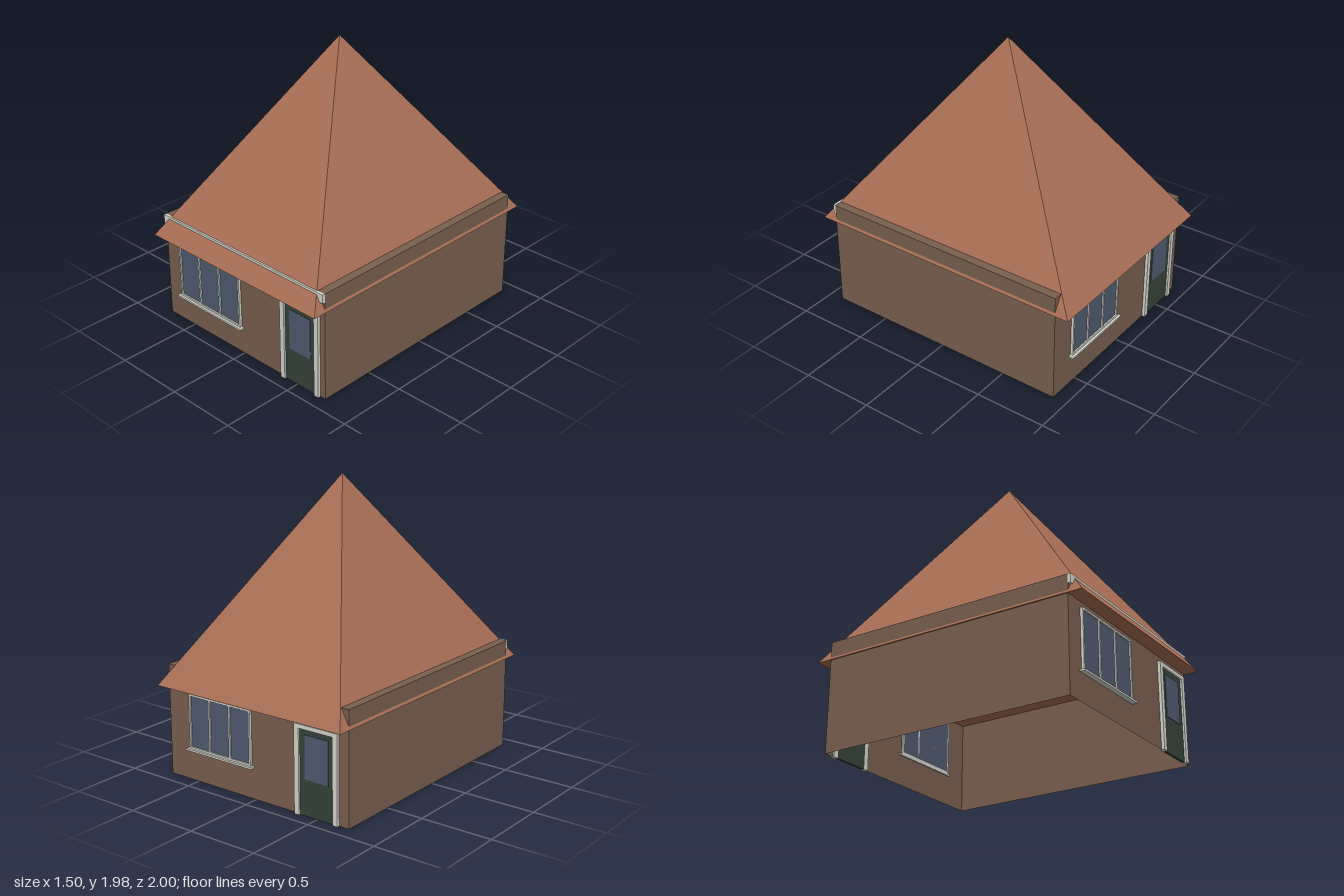
import * as THREE from 'three';

const mat = (color, extra = {}) => new THREE.MeshStandardMaterial({ color, ...extra });
const wallMat = mat(0x7a6050, { side: THREE.DoubleSide });
const roofMat = mat(0xa86e55, { flatShading: true });
const trimMat = mat(0xd8d8cf);
const doorMat = mat(0x34443a);
const glassMat = mat(0x505c70);

const WALL_Z = 0.9;

// Box given by its minimum and maximum corners
function box(name, material, x0, x1, y0, y1, z0, z1) {
  const mesh = new THREE.Mesh(new THREE.BoxGeometry(x1 - x0, y1 - y0, z1 - z0), material);
  mesh.position.set((x0 + x1) / 2, (y0 + y1) / 2, (z0 + z1) / 2);
  mesh.name = name;
  return mesh;
}

// Three-pane window with a slim frame and a sill
function makeWindow(x0, x1, y0, y1) {
  const g = new THREE.Group();
  g.name = 'window';
  const t = 0.013, z = WALL_Z - 0.01, front = WALL_Z + 0.018;
  g.add(box('windowGlass', glassMat, x0 + t, x1 - t, y0 + t, y1 - t, z, WALL_Z + 0.008));
  for (let i = 0; i <= 3; i++) {
    const x = x0 + ((x1 - x0 - t) * i) / 3;
    g.add(box('windowPost', trimMat, x, x + t, y0, y1, z, front));
  }
  for (const y of [y0, y1 - t]) g.add(box('windowRail', trimMat, x0 + t, x1 - t, y, y + t, z, front));
  g.add(box('windowSill', trimMat, x0 - 0.02, x1 + 0.02, y0 - 0.013, y0, z, WALL_Z + 0.034));
  return g;
}

// Door with a glazed upper part in a broad frame
function makeDoor(x0, x1) {
  const g = new THREE.Group();
  g.name = 'door';
  const top = 0.6, t = 0.037, head = 0.028, z = WALL_Z - 0.01, front = WALL_Z + 0.021;
  g.add(box('doorPostRight', trimMat, x0, x0 + t, 0, top, z, front));
  g.add(box('doorPostLeft', trimMat, x1 - t, x1, 0, top, z, front));
  g.add(box('doorHead', trimMat, x0 + t, x1 - t, top - head, top, z, front));
  g.add(box('doorPanel', doorMat, x0 + t, x1 - t, 0, top - head, z, WALL_Z + 0.008));
  g.add(box('doorGlass', glassMat, x0 + 0.078, x1 - 0.075, 0.245, 0.535, z, WALL_Z + 0.012));
  return g;
}

export function createModel() {
  const house = new THREE.Group();
  house.name = 'house';

  // Walls: a box open at the bottom
  const walls = box('walls', wallMat, -0.74, 0.74, 0, 0.765, -WALL_Z, WALL_Z);
  const index = Array.from(walls.geometry.index.array);
  index.splice(18, 6);
  walls.geometry.setIndex(index);
  walls.geometry.clearGroups();
  house.add(walls);

  // Pyramid roof with overhanging eaves
  const roofGeo = new THREE.ConeGeometry(Math.SQRT2, 1.34, 4);
  roofGeo.rotateY(Math.PI / 4);
  roofGeo.scale(0.75, 1, 1);
  const roof = new THREE.Mesh(roofGeo, roofMat);
  roof.name = 'roof';
  roof.position.y = 0.64 + 0.67;
  house.add(roof);

  // Trim board along the top of the front wall
  house.add(box('fasciaBoard', trimMat, -0.74, 0.74, 0.705, 0.767, WALL_Z, 0.918));

  // Front openings
  const front = new THREE.Group();
  front.name = 'frontOpenings';
  front.add(makeWindow(-0.605, -0.018, 0.198, 0.6), makeDoor(0.362, 0.698));
  house.add(front);

  // Back openings, turned to face the rear
  const back = new THREE.Group();
  back.name = 'backOpenings';
  back.add(makeWindow(-0.555, -0.03, 0.224, 0.6), makeDoor(0.33, 0.666));
  back.rotation.y = Math.PI;
  house.add(back);

  return house;
}
